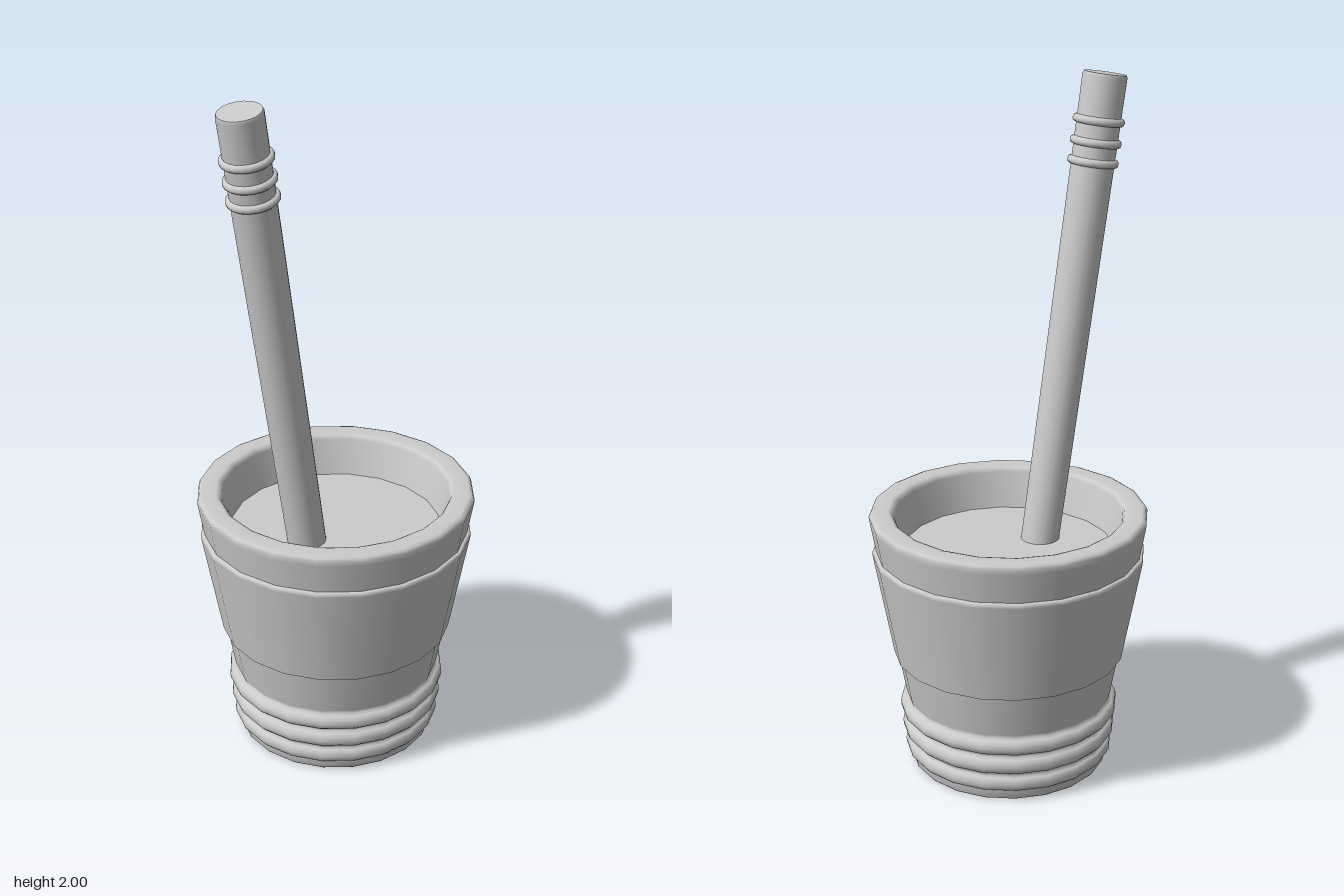
import * as THREE from 'three';
import { mergeGeometries } from 'three/addons/utils/BufferGeometryUtils.js';

const SIDES = 20;
const material = new THREE.MeshStandardMaterial({ color: 0xcccccc });

// Each run of [radius, height] points is smooth; edges between runs stay sharp.
function turned(name, ...runs) {
  const parts = runs.map(run =>
    new THREE.LatheGeometry(run.map(([r, y]) => new THREE.Vector2(r, y)), SIDES));
  const mesh = new THREE.Mesh(mergeGeometries(parts), material);
  mesh.name = name;
  return mesh;
}

// Rounded ridge profile bulging from radius r, centred at height y
function ridge(r, y, bulge, half) {
  return [[-1, 0], [-0.85, 0.55], [-0.5, 0.92], [0, 1], [0.5, 0.92], [0.85, 0.55], [1, 0]]
    .map(([t, b]) => [r + b * bulge, y + t * half]);
}

export function createModel() {
  const model = new THREE.Group();

  // Cup body: base, ribbed foot, tapering wall, rounded lip and inner wall
  const cup = new THREE.Group();
  cup.name = 'cup';
  cup.position.x = 0.004;
  cup.add(turned('cupBody',
    [[0, 0], [0.28, 0]],
    [[0.28, 0], [0.286, 0.006], [0.29, 0.03],
      ...ridge(0.29, 0.055, 0.015, 0.022),
      ...ridge(0.292, 0.115, 0.021, 0.025),
      ...ridge(0.296, 0.178, 0.023, 0.025),
      [0.301, 0.215], [0.325, 0.345]],
    [[0.325, 0.345], [0.381, 0.66], [0.398, 0.755], [0.4, 0.77],
      [0.396, 0.779], [0.386, 0.783], [0.346, 0.783], [0.335, 0.779],
      [0.329, 0.768], [0.304, 0.66]]));

  // Raised band wrapped around the wall
  cup.add(turned('sleeve',
    [[0.32, 0.345], [0.335, 0.345]],
    [[0.335, 0.345], [0.392, 0.652], [0.392, 0.66], [0.388, 0.664], [0.378, 0.666]]));

  // Drink surface
  cup.add(turned('liquid', [[0.306, 0.662], [0, 0.662]]));
  model.add(cup);

  // Leaning straw, built upright from its foot
  const straw = new THREE.Group();
  straw.name = 'straw';
  straw.position.set(-0.107, 0.61, 0);
  straw.rotation.z = 0.17;
  const length = 1.4;
  const radiusAt = y => 0.055 + 0.008 * y / length;
  straw.add(turned('strawShaft',
    [[0, 0], [radiusAt(0), 0]],
    [[radiusAt(0), 0], [radiusAt(length), length - 0.008], [0.06, length]],
    [[0.06, length], [0, length]]));

  // Flexible neck rings
  for (const y of [1.155, 1.21, 1.27]) {
    const ring = turned('strawRing', ridge(radiusAt(y) - 0.002, y, 0.013, 0.012));
    straw.add(ring);
  }
  model.add(straw);
  return model;
}
